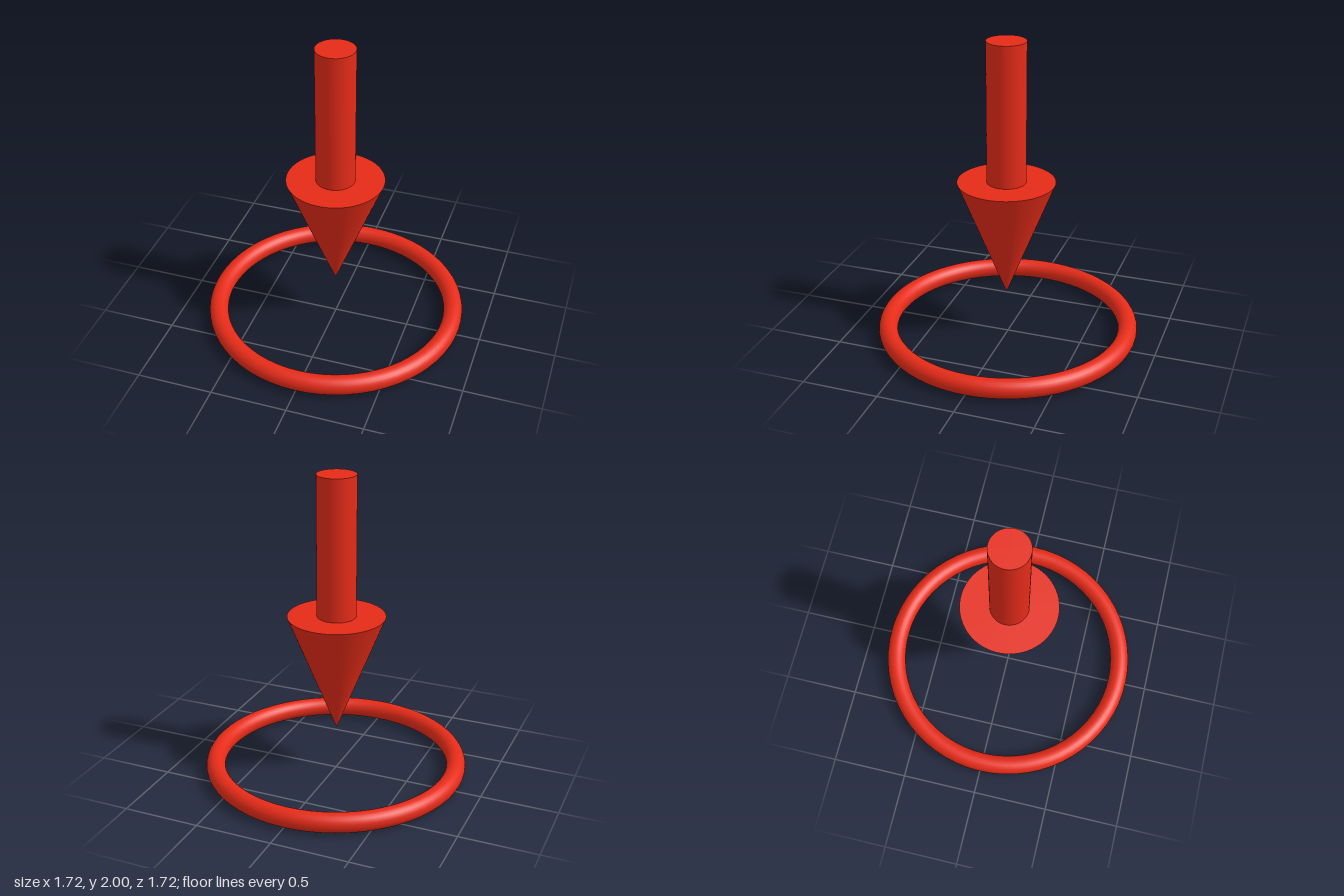
import * as THREE from 'three';

export function createModel() {
  const group = new THREE.Group();
  const red = new THREE.MeshStandardMaterial({ color: 0xe52b18 });

  const add = (name, geometry, y, z = 0) => {
    const mesh = new THREE.Mesh(geometry, red);
    mesh.name = name;
    mesh.position.set(0, y, z);
    group.add(mesh);
    return mesh;
  };

  // Ring lying on the ground
  const ringRadius = 0.795, tube = 0.063;
  add('ring', new THREE.TorusGeometry(ringRadius, tube, 24, 64).rotateX(Math.PI / 2), tube);

  // Arrow pointing down at the ring, set very slightly forward
  const tipY = 0.293, headTop = 1.082, topY = 2, arrowZ = 0.01;
  const headHeight = headTop - tipY, shaftHeight = topY - headTop;
  add('arrowHead', new THREE.ConeGeometry(0.315, headHeight, 64).rotateX(Math.PI), tipY + headHeight / 2, arrowZ);
  add('arrowShaft', new THREE.CylinderGeometry(0.126, 0.126, shaftHeight, 64), headTop + shaftHeight / 2, arrowZ);

  return group;
}
